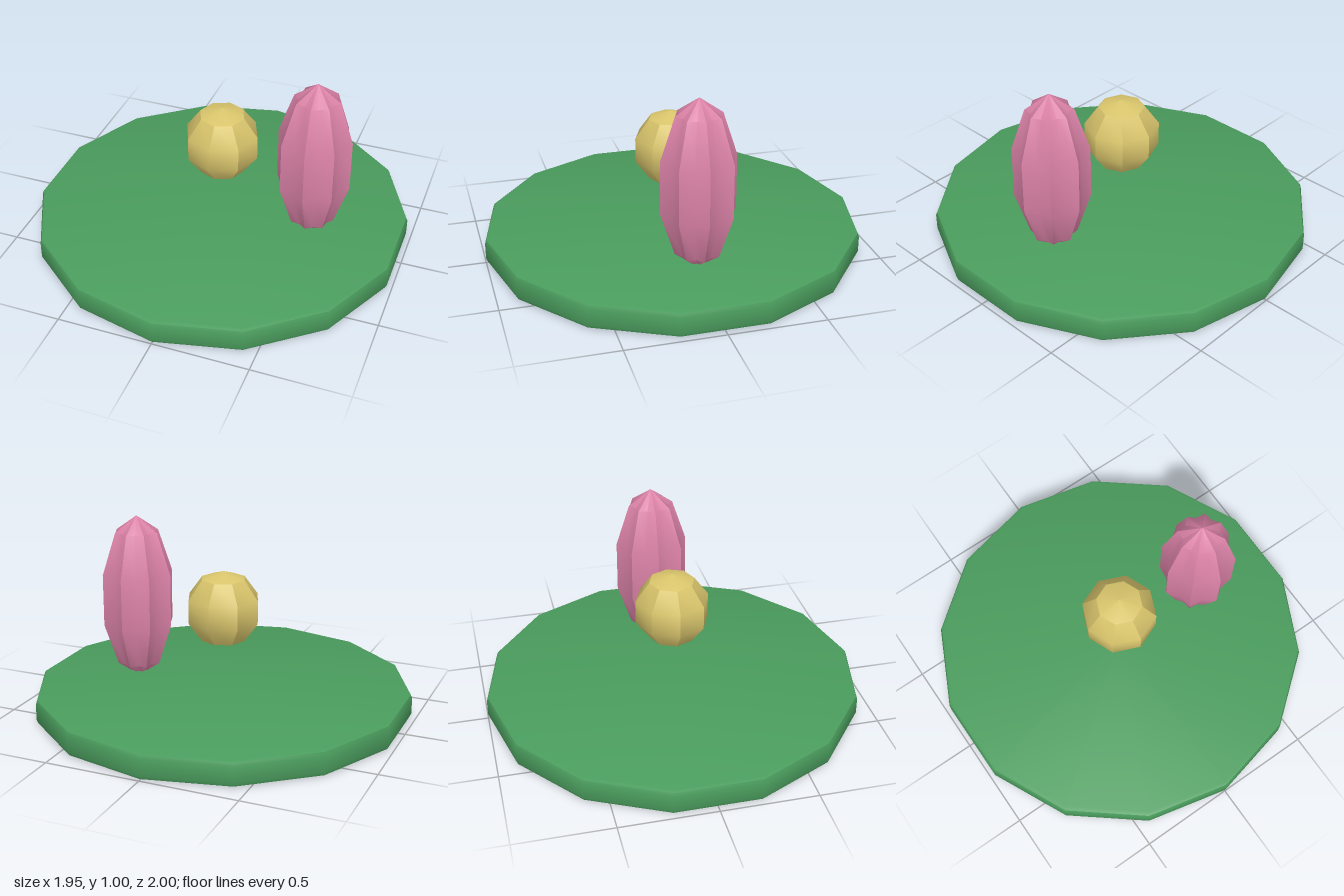
import * as THREE from 'three';
import { toCreasedNormals } from 'three/addons/utils/BufferGeometryUtils.js';

const CREASE = THREE.MathUtils.degToRad(35);

function flat(name, color) {
  const material = new THREE.MeshStandardMaterial({ color });
  material.name = name;
  return material;
}

function part(name, geometry, material) {
  const mesh = new THREE.Mesh(toCreasedNormals(geometry, CREASE), material);
  mesh.name = name;
  return mesh;
}

// Fourteen-sided disc with a softly rounded rim
function discGeometry(radius, height, bevel) {
  const points = [new THREE.Vector2(0, 0)];
  for (const [centreY, start] of [[bevel, -Math.PI / 2], [height - bevel, 0]]) {
    for (let i = 0; i <= 2; i++) {
      const a = start + (i * Math.PI) / 4;
      points.push(new THREE.Vector2(
        radius - bevel + bevel * Math.cos(a),
        centreY + bevel * Math.sin(a)
      ));
    }
  }
  points.push(new THREE.Vector2(0, height));
  return new THREE.LatheGeometry(points, 14);
}

// Tall low-poly ellipsoid with eight ridges and valleys between them
function ribbedGeometry(radius, halfHeight, valley) {
  const geometry = new THREE.SphereGeometry(1, 16, 5);
  const position = geometry.attributes.position;
  for (let i = 0; i < position.count; i++) {
    const column = i % 17;
    const r = radius * (column % 2 ? valley : 1);
    position.setXYZ(i, position.getX(i) * r, position.getY(i) * halfHeight, position.getZ(i) * r);
  }
  return geometry;
}

export function createModel() {
  const green = flat('green', 0x4a9c5d);
  const gold = flat('gold', 0xd9c56c);
  const pink = flat('pink', 0xdb82a7);

  const model = new THREE.Group();
  model.name = 'ornamentsOnDisc';

  const base = part('base', discGeometry(1, 0.135, 0.025), green);

  // Floating ball above the centre
  const ball = part('ball', new THREE.SphereGeometry(0.204, 8, 5), gold);
  ball.position.set(0, 0.544, 0);

  // Ribbed pod, its tip sunk slightly into the base
  const pod = part('ribbedPod', ribbedGeometry(0.204, 0.45, 0.82), pink);
  pod.position.set(0.5, 0.548, 0);

  model.add(base, ball, pod);
  return model;
}
